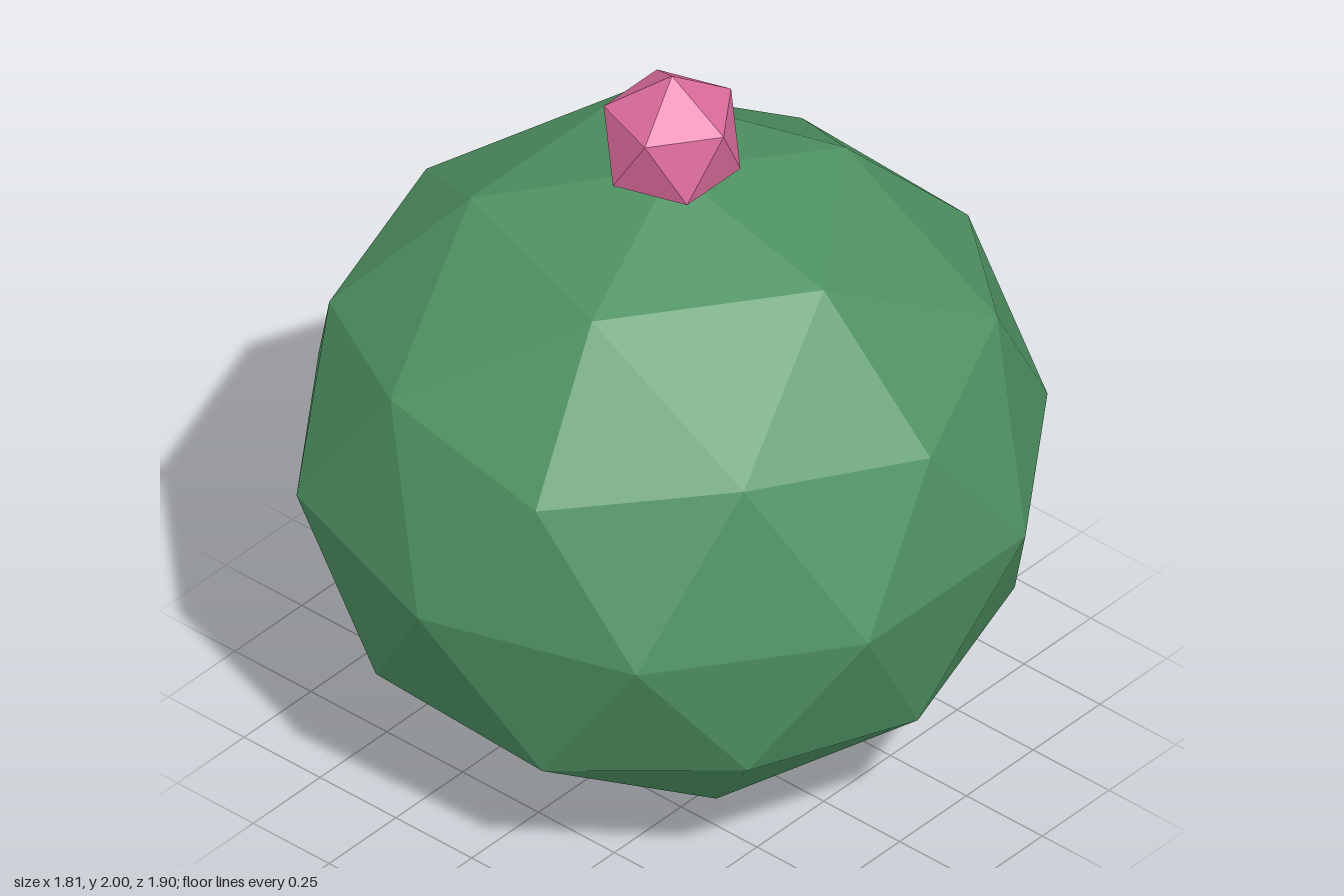
import * as THREE from 'three';

// Faceted icosahedral ball with its poles on the y axis
function facetedBall(radius, detail, squash) {
  const geometry = new THREE.IcosahedronGeometry(radius, detail);
  const golden = (1 + Math.sqrt(5)) / 2;
  geometry.rotateZ(-Math.atan(1 / golden)); // bring a corner up to the pole
  geometry.scale(1, squash, 1);
  geometry.computeVertexNormals(); // unshared corners give flat facets
  return geometry;
}

export function createModel() {
  const green = new THREE.MeshStandardMaterial({ color: 0x4f9363 });
  green.name = 'cactusGreen';
  const pink = new THREE.MeshStandardMaterial({ color: 0xdb6b9c });
  pink.name = 'blossomPink';

  const model = new THREE.Group();
  model.name = 'roundCactus';

  // Slightly flattened round body
  const body = new THREE.Mesh(facetedBall(0.952, 1, 0.9), green);
  body.name = 'body';
  body.position.y = 0.857;

  // Small blossom sunk into the crown
  const blossom = new THREE.Mesh(facetedBall(0.19, 0, 1), pink);
  blossom.name = 'blossom';
  blossom.position.y = 1.81;

  model.add(body, blossom);
  return model;
}
